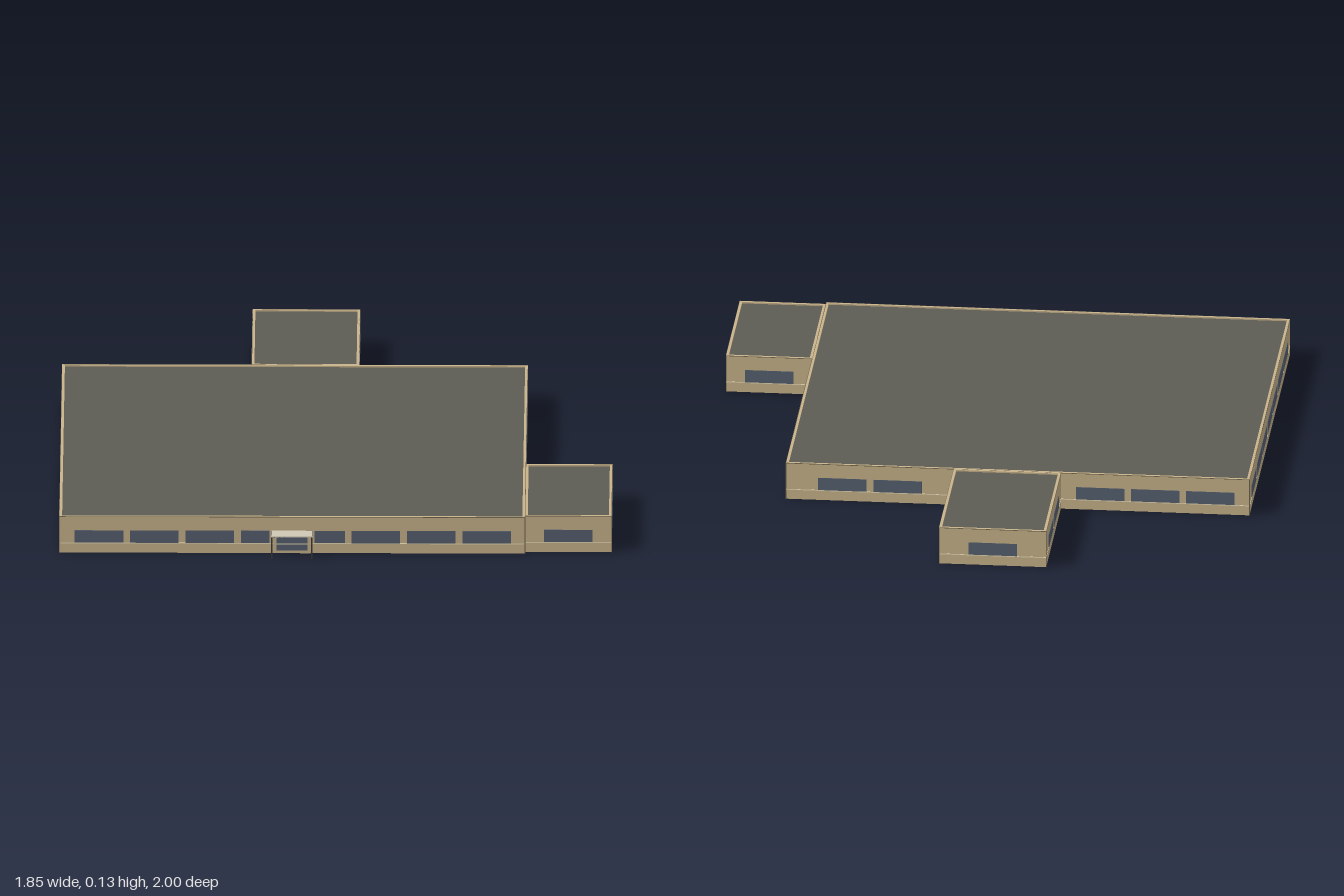
import * as THREE from 'three';

const material = (name, color) => {
  const m = new THREE.MeshStandardMaterial({ color });
  m.name = name;
  return m;
};

export function createModel() {
  const wall = material('tan wall', 0xc8b38a);
  const roofing = material('grey roof', 0x5e5d54);
  const glass = material('blue grey glass', 0x566070);
  const sill = material('pale sill', 0xe6d8b4);
  const trim = material('dark trim', 0x6b604a);
  const metal = material('dark metal', 0x3a3934);
  const canopyTop = material('pale canopy', 0xd0c8b5);

  const HEIGHT = 0.13, THICK = 0.009, ROOF_Y = 0.123;
  const WIN_W = 0.163, PITCH = 0.1855, WIN_Y = 0.058, WIN_H = 0.044;

  const model = new THREE.Group();
  model.name = 'building';

  const box = (parent, name, mat, w, h, d, x, y, z) => {
    const mesh = new THREE.Mesh(new THREE.BoxGeometry(w, h, d), mat);
    mesh.name = name;
    mesh.position.set(x, y, z);
    parent.add(mesh);
    return mesh;
  };

  // Counter-clockwise plan outline, so both wall faces turn outward
  const rectangle = (target, x0, x1, z0, z1) => {
    target.moveTo(x0, -z1);
    target.lineTo(x1, -z1);
    target.lineTo(x1, -z0);
    target.lineTo(x0, -z0);
    target.closePath();
    return target;
  };

  // A hollow block, open underneath: ring of walls, sunken roof and edge trims
  function block(name, x0, x1, z0, z1) {
    const group = new THREE.Group();
    group.name = name;
    model.add(group);
    const outline = rectangle(new THREE.Shape(), x0, x1, z0, z1);
    outline.holes.push(rectangle(new THREE.Path(), x0 + THICK, x1 - THICK, z0 + THICK, z1 - THICK));
    const ring = new THREE.Mesh(
      new THREE.ExtrudeGeometry(outline, { depth: HEIGHT, bevelEnabled: false }), wall);
    ring.rotation.x = -Math.PI / 2;
    ring.name = 'walls';
    group.add(ring);

    const cx = (x0 + x1) / 2, cz = (z0 + z1) / 2, w = x1 - x0, d = z1 - z0;
    box(group, 'roof', roofing, w - THICK, 0.004, d - THICK, cx, ROOF_Y, cz);
    const t = 0.002;
    for (const x of [x0, x1]) {
      box(group, 'copingEdge', trim, t, t, d, x, HEIGHT - t / 2, cz);
      for (const z of [z0, z1]) box(group, 'cornerTrim', trim, t, HEIGHT, t, x, HEIGHT / 2, z);
    }
    for (const z of [z0, z1]) box(group, 'copingEdge', trim, w, t, t, cx, HEIGHT - t / 2, z);
  }

  // Sill line and evenly spaced windows on one stretch of wall, facing `angle`
  function facade(name, cx, cz, length, angle, count, gap) {
    const group = new THREE.Group();
    group.name = name;
    group.position.set(cx, 0, cz);
    group.rotation.y = angle;
    model.add(group);
    box(group, 'sillLine', sill, length, 0.003, 0.002, 0, 0.0345, 0);
    for (let i = 0; i < count; i++) {
      const mid = (i - (count - 1) / 2) * PITCH;
      let a = mid - WIN_W / 2, b = mid + WIN_W / 2;
      // Trim windows that would run into the entrance
      if (gap && a < gap[0] && b > gap[0]) b = gap[0];
      if (gap && a < gap[1] && b > gap[1]) a = gap[1];
      box(group, 'window', glass, b - a, WIN_H, 0.0025, (a + b) / 2, WIN_Y, 0);
    }
  }

  block('mainHall', -0.925, 0.635, -0.48, 0.945);
  block('backWing', -0.29, 0.07, -1, -0.48);
  block('sideWing', 0.635, 0.925, 0.445, 0.93);

  const FRONT = 0, LEFT = Math.PI / 2, BACK = Math.PI, RIGHT = -Math.PI / 2;
  facade('hallFront', -0.143, 0.945, 1.556, FRONT, 8, [-0.079, 0.073]);
  facade('hallRight', -0.925, 0.2325, 1.425, RIGHT, 7);
  facade('hallLeft', 0.635, -0.0155, 0.921, LEFT, 4);
  facade('hallBackRight', -0.6075, -0.48, 0.635, BACK, 3);
  facade('hallBackLeft', 0.3525, -0.48, 0.565, BACK, 2);
  facade('backWingEnd', -0.11, -1, 0.36, BACK, 1);
  facade('backWingLeft', 0.07, -0.737, 0.514, LEFT, 2);
  facade('backWingRight', -0.29, -0.737, 0.514, RIGHT, 2);
  facade('sideWingFront', 0.78, 0.93, 0.29, FRONT, 1);
  facade('sideWingBack', 0.78, 0.445, 0.29, BACK, 1);
  facade('sideWingEnd', 0.925, 0.6915, 0.477, LEFT, 2);

  // Entrance: glazed doors under a canopy on two thin posts
  const entrance = new THREE.Group();
  entrance.name = 'entrance';
  entrance.position.set(-0.146, 0, 0.945);
  model.add(entrance);
  box(entrance, 'doorSurround', wall, 0.125, 0.076, 0.004, 0, 0.038, 0);
  box(entrance, 'doorGlass', glass, 0.104, 0.06, 0.006, 0, 0.04, 0);
  box(entrance, 'doorRail', sill, 0.104, 0.004, 0.008, 0, 0.034, 0);
  box(entrance, 'canopy', canopyTop, 0.138, 0.004, 0.055, 0, 0.078, 0.0275);
  box(entrance, 'canopyEdge', metal, 0.138, 0.003, 0.002, 0, 0.0775, 0.054);
  for (const side of [-1, 1]) {
    box(entrance, 'canopyPost', metal, 0.004, 0.077, 0.004, side * 0.067, 0.0385, 0.0525);
    box(entrance, 'canopySideEdge', metal, 0.002, 0.003, 0.055, side * 0.069, 0.0775, 0.0275);
  }
  return model;
}
